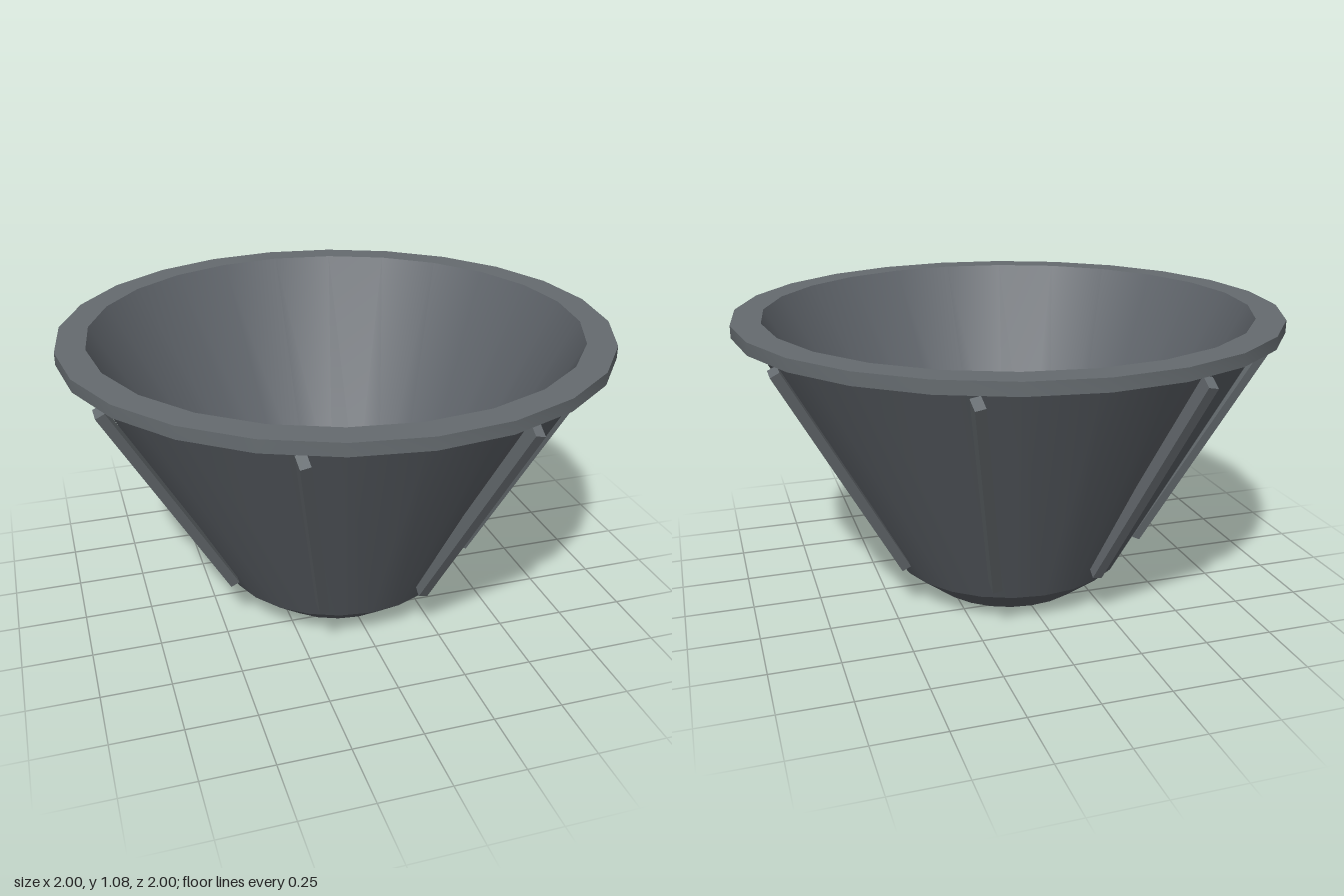
import * as THREE from 'three';
import { toCreasedNormals } from 'three/addons/utils/BufferGeometryUtils.js';

const lathe = (...points) =>
  new THREE.LatheGeometry(points.map(([r, y]) => new THREE.Vector2(r, y)), 24);

export function createModel() {
  const model = new THREE.Group();
  const shellGrey = new THREE.MeshStandardMaterial({ color: 0x5f646a });
  shellGrey.name = 'shellGrey';
  const trimGrey = new THREE.MeshStandardMaterial({ color: 0x656b6f });
  trimGrey.name = 'trimGrey';

  const add = (name, geometry, material, parent = model) => {
    const mesh = new THREE.Mesh(geometry, material);
    mesh.name = name;
    parent.add(mesh);
    return mesh;
  };

  // Flared bowl with a wall thickness: outside, then inside down to a lip round the bottom hole
  add('bowlOutside', toCreasedNormals(lathe([0.3, 0], [0.44, 0.11], [0.94, 1.04]), 0.4), shellGrey);
  add('bowlInside', lathe([0.895, 1.08], [0.4, 0.155], [0.27, 0.1]), shellGrey);
  add('bottomHole', lathe([0.27, 0.1], [0.3, 0]), shellGrey);

  // Flat ring around the top edge
  const ring = lathe([0.93, 1.035], [1, 1.035], [1, 1.08], [0.895, 1.08]);
  add('rim', toCreasedNormals(ring, 0.5), trimGrey);

  // Round plate in the base, with crossed braces over it
  add('basePlate', new THREE.CylinderGeometry(0.285, 0.285, 0.035, 16), trimGrey).position.y = 0.16;
  const braces = new THREE.Group();
  braces.name = 'braces';
  model.add(braces);
  for (const angle of [0, Math.PI / 2]) {
    const brace = add('brace', new THREE.BoxGeometry(0.85, 0.035, 0.035), trimGrey, braces);
    brace.position.y = 0.185;
    brace.rotation.y = angle;
  }

  // Eight straight ribs leaning along the outside wall
  const ribs = new THREE.Group();
  ribs.name = 'ribs';
  model.add(ribs);
  const up = new THREE.Vector3(0, 1, 0);
  for (let i = 0; i < 8; i++) {
    const a = (i + 0.5) * Math.PI / 4;
    const at = (r, y) => new THREE.Vector3(r * Math.cos(a), y, r * Math.sin(a));
    const low = at(0.495, 0.185), high = at(0.97, 1.005);
    const along = high.clone().sub(low);
    const rib = add('rib', new THREE.BoxGeometry(0.035, along.length(), 0.055), trimGrey, ribs);
    rib.position.copy(low).add(high).multiplyScalar(0.5);
    rib.quaternion.setFromUnitVectors(up, along.normalize());
  }
  return model;
}
